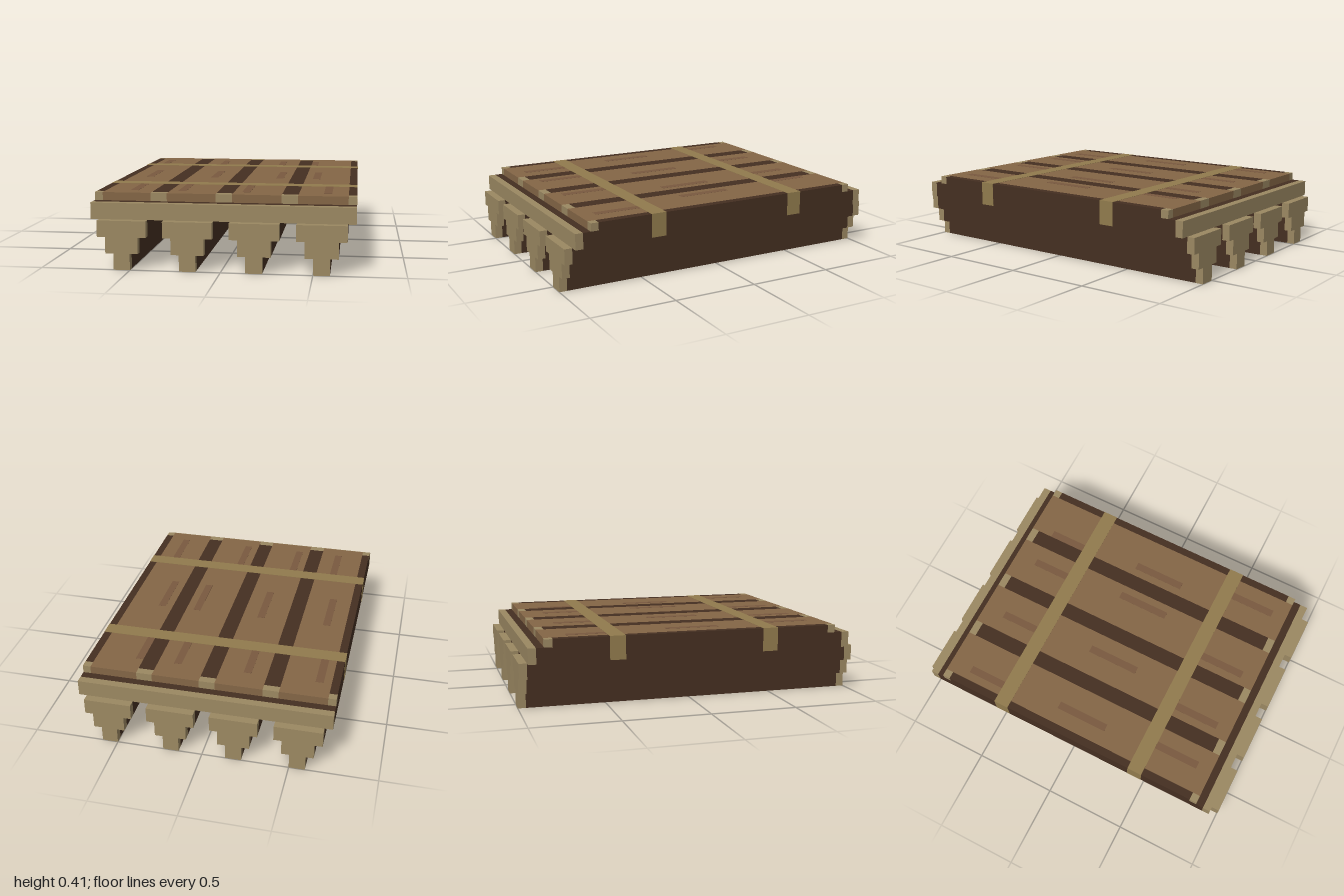
import * as THREE from 'three';

const U = 1 / 22; // grid step: the model is 44 steps long

export function createModel() {
  const model = new THREE.Group();
  model.name = 'logRaft';
  const mat = (color) => new THREE.MeshStandardMaterial({ color, flatShading: true });
  const bark = mat(0x452f21), cutWood = mat(0x9b8862), plank = mat(0x846646);
  const strap = mat(0x917b4d), grain = mat(0x79593f);

  // Box from its minimum and maximum corners, in grid steps
  function block(parent, name, material, x0, x1, y0, y1, z0, z1) {
    const geo = new THREE.BoxGeometry((x1 - x0) * U, (y1 - y0) * U, (z1 - z0) * U);
    const mesh = new THREE.Mesh(geo, material);
    mesh.position.set((x0 + x1) / 2 * U, (y0 + y1) / 2 * U, (z0 + z1) / 2 * U);
    mesh.name = name;
    parent.add(mesh);
  }

  // Bark-covered length with a pale cut end, one step deep, at front and back
  function cappedBeam(parent, name, side, end, x0, x1, y0, y1, half) {
    block(parent, name, side, x0, x1, y0, y1, 1 - half, half - 1);
    block(parent, name + 'FrontEnd', end, x0, x1, y0, y1, half - 1, half);
    block(parent, name + 'BackEnd', end, x0, x1, y0, y1, -half, 1 - half);
  }

  // Four stepped logs underneath
  for (const x of [-12, -4, 4, 12]) {
    const log = new THREE.Group();
    log.name = 'log';
    for (let i = 0; i < 3; i++) {
      cappedBeam(log, 'logStep', bark, cutWood, x - 1 - i, x + 1 + i, 2 * i, 2 * i + 2, 22);
    }
    model.add(log);
  }

  // Deck base
  cappedBeam(model, 'deckBase', bark, cutWood, -16, 16, 6, 8, 21);

  // Deck surface: planks separated by dark bark strips
  for (const x of [-12, -4, 4, 12]) block(model, 'plank', plank, x - 3, x + 3, 8, 9, -19, 19);
  for (const [x0, x1] of [[-16, -15], [-9, -7], [-1, 1], [7, 9], [15, 16]]) {
    cappedBeam(model, 'barkStrip', bark, cutWood, x0, x1, 8, 9, 19);
  }

  // Two straps across the deck and down its edges
  for (const z of [-10, 10]) block(model, 'strap', strap, -16.03, 16.03, 6.02, 9.03, z - 1, z + 1);

  // Grain marks in three rows on the planks
  const rows = [
    { z: [-16, -11], xs: [-14, -5, 4, 9] },
    { z: [-3, 4], xs: [-13, -4, 5, 10] },
    { z: [11, 17], xs: [-12, -6, 2, 12] },
  ];
  for (const { z, xs } of rows) {
    for (const x of xs) block(model, 'grainMark', grain, x, x + 1, 8.9, 9.02, z[0], z[1]);
  }

  return model;
}
